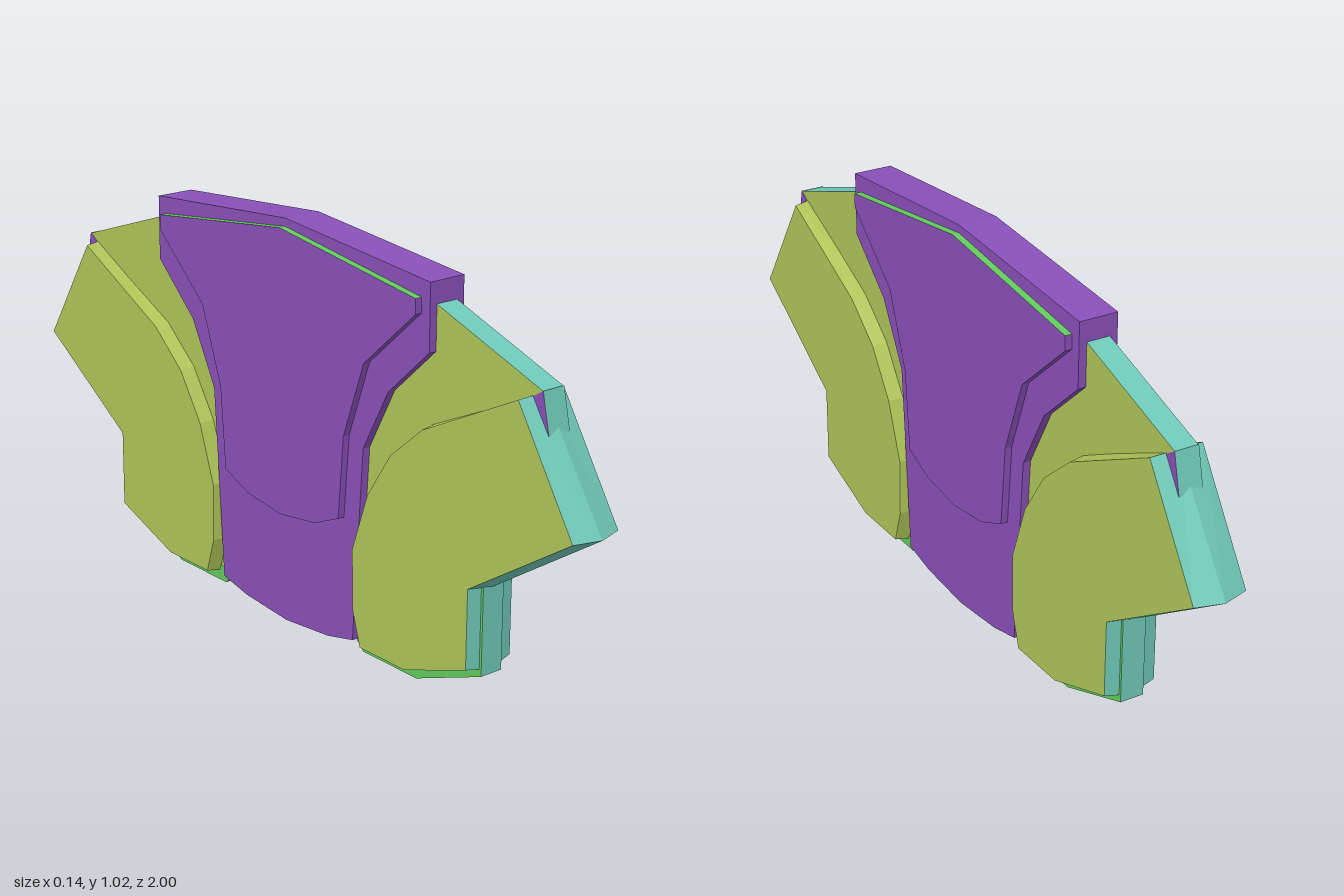
import * as THREE from 'three';

const mat = (name, color) => {
  const m = new THREE.MeshStandardMaterial({ color });
  m.name = name;
  return m;
};

// Solid from matching [z, y] outlines placed at successive x positions.
// cap: material of the two flat faces; side(i): material of the edge from point i to i + 1.
function slab(name, sections, cap, side) {
  const materials = [...new Set([cap, ...sections[0].pts.map((p, i) => side(i))])];
  const buckets = materials.map(() => []);
  const put = (m, ...pts) => buckets[materials.indexOf(m)].push(...pts.flat());
  const at = (s, i) => [s.x, s.pts[i % s.pts.length][1], s.pts[i % s.pts.length][0]];
  const cross = (a, b, c) => (b[0] - a[0]) * (c[1] - a[1]) - (b[1] - a[1]) * (c[0] - a[0]);

  // Flat faces
  for (const [s, dir] of [[sections[0], -1], [sections[sections.length - 1], 1]]) {
    const contour = s.pts.map(p => new THREE.Vector2(p[0], p[1]));
    for (const [a, b, c] of THREE.ShapeUtils.triangulateShape(contour, [])) {
      const flip = cross(s.pts[a], s.pts[b], s.pts[c]) * dir > 0;
      put(cap, at(s, a), at(s, flip ? c : b), at(s, flip ? b : c));
    }
  }
  // Edge walls
  const ccw = THREE.ShapeUtils.area(sections[0].pts.map(p => new THREE.Vector2(p[0], p[1]))) > 0;
  for (let k = 0; k + 1 < sections.length; k++) {
    const s = sections[k], t = sections[k + 1];
    for (let i = 0; i < s.pts.length; i++) {
      const a = at(s, i), b = at(s, i + 1), c = at(t, i + 1), d = at(t, i);
      if (ccw) put(side(i), a, c, b, a, d, c);
      else put(side(i), a, b, c, a, c, d);
    }
  }

  const geo = new THREE.BufferGeometry();
  geo.setAttribute('position', new THREE.Float32BufferAttribute(buckets.flat(), 3));
  let start = 0;
  buckets.forEach((b, i) => {
    geo.addGroup(start, b.length / 3, i);
    start += b.length / 3;
  });
  geo.computeVertexNormals();
  const mesh = new THREE.Mesh(geo, materials);
  mesh.name = name;
  return mesh;
}

// Straight-sided plate of half thickness h
const plate = (name, pts, h, cap, side) =>
  slab(name, [{ x: -h, pts }, { x: h, pts }], cap, side);

// Complete a half outline (from top centre to bottom centre) across z = 0
const mirrored = half => [...half, ...half.slice(1, -1).reverse().map(([z, y]) => [-z, y])];

export function createModel() {
  const group = new THREE.Group();
  const purple = mat('purple', 0x8a50b9);
  const olive = mat('yellowGreen', 0xafc558);
  const teal = mat('teal', 0x70cab9);
  const green = mat('green', 0x62cc5c);

  // Central shield body
  const body = mirrored([[0, 1.02], [0.505, 0.977], [0.505, 0.815], [0.37, 0.69], [0.285, 0.53],
    [0.268, 0.28], [0.252, 0.035], [0.16, 0.014], [0, 0]]);
  group.add(plate('centreBody', body, 0.05, purple, () => purple));

  // Raised panel on both faces, with a green top edge
  const panel = mirrored([[0, 1.0], [0.477, 0.937], [0.477, 0.9], [0.305, 0.745], [0.235, 0.55],
    [0.218, 0.34], [0.13, 0.302], [0, 0.285]]);
  const last = panel.length - 1;
  group.add(plate('raisedPanel', panel, 0.068, purple, i => (i === 0 || i === last ? green : purple)));

  // Wing outline on the faces and on the ridge along the middle of the edge
  const face = [[0.805, 0.79], [0.98, 0.515], [0.665, 0.31], [0.665, 0.113], [0.46, 0.038], [0.3, 0.038],
    [0.272, 0.13], [0.27, 0.28], [0.322, 0.43], [0.4, 0.55], [0.505, 0.64]];
  const ridge = [[0.815, 0.796], [1.0, 0.515], [0.675, 0.302], [0.675, 0.1], [0.46, 0.028], [0.292, 0.028],
    [0.262, 0.13], [0.26, 0.28], [0.312, 0.435], [0.392, 0.557], [0.5, 0.648]];
  // Thin core between the wing faces
  const core = [[0.45, 0.942], [0.505, 0.924], [0.84, 0.81], [0.865, 0.7], [0.6, 0.4], [0.6, 0.1],
    [0.46, 0.04], [0.27, 0.03], [0.24, 0.05], [0.2, 0.1], [0.2, 0.6], [0.42, 0.8]];
  const rim = [[0.677, 0.36], [0.677, 0.09], [0.46, 0.006], [0.27, 0.006], [0.245, 0.03], [0.27, 0.045],
    [0.46, 0.07], [0.62, 0.13], [0.62, 0.36]];
  const tip = [[0.841, 0.811], [0.8, 0.785], [0.83, 0.7], [0.867, 0.695]];

  for (const s of [1, -1]) {
    const wing = new THREE.Group();
    wing.name = s > 0 ? 'frontWing' : 'backWing';
    const flip = pts => pts.map(([z, y]) => [z * s, y]);
    wing.add(
      slab('wingShell', [
        { x: -0.068, pts: flip(face) }, { x: 0, pts: flip(ridge) }, { x: 0.068, pts: flip(face) },
      ], olive, i => (i < 5 ? teal : olive)),
      plate('wingCore', flip(core), 0.03, olive, () => teal),
      plate('lowerRim', flip(rim), 0.031, green, () => teal),
      plate('coreTip', flip(tip), 0.031, purple, () => teal),
    );
    group.add(wing);
  }
  return group;
}
